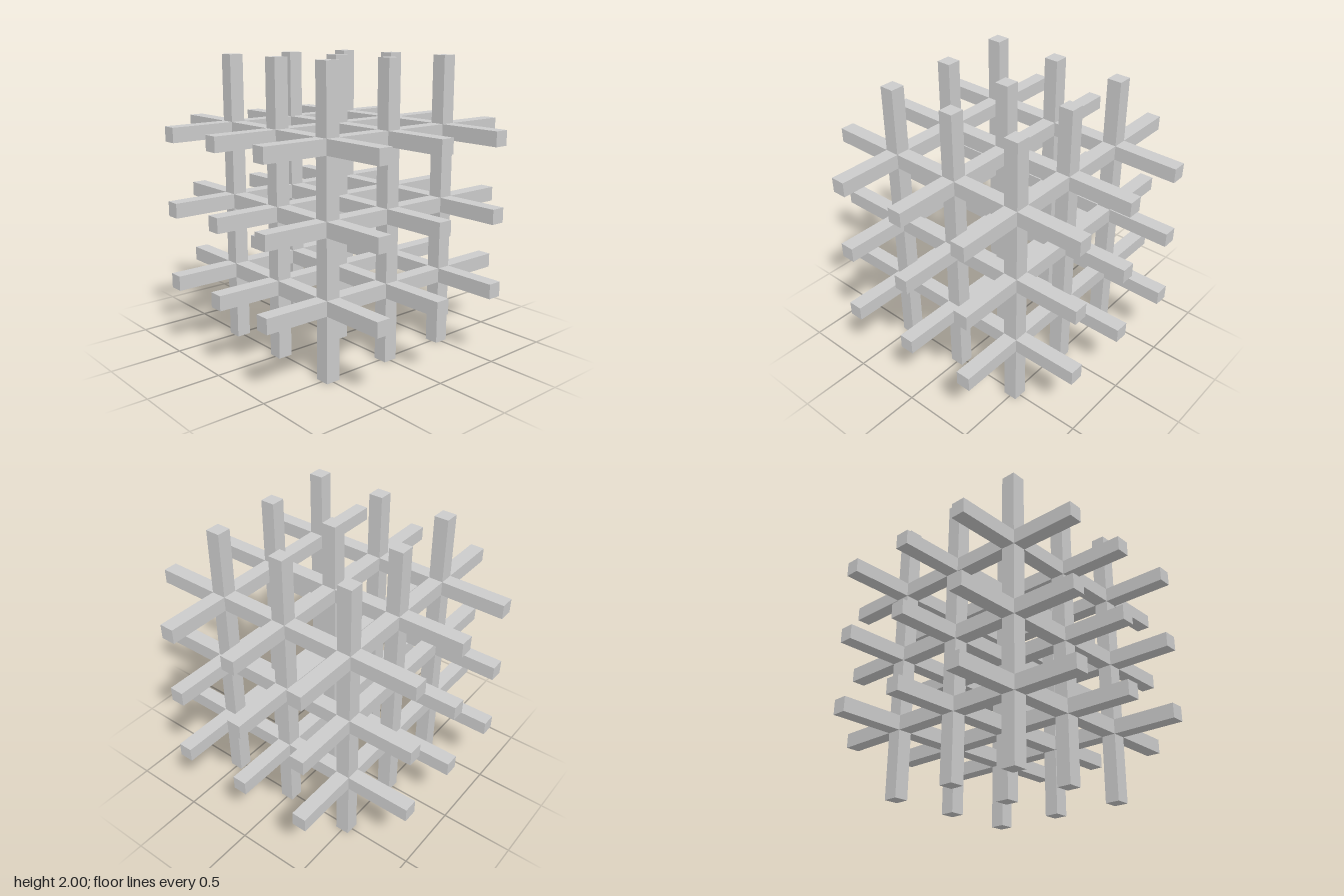
import * as THREE from 'three';

const LENGTH = 2;
const THICK = 0.1;
const OFFSETS = [-0.5, 0, 0.5];

export function createModel() {
  const model = new THREE.Group();
  model.name = 'lattice';
  const material = new THREE.MeshStandardMaterial({ color: 0xcccccc, flatShading: true });

  // a 3 x 3 set of square bars running along one axis
  function addBars(name, axis) {
    const group = new THREE.Group();
    group.name = name + 's';
    const size = [THICK, THICK, THICK];
    size[axis] = LENGTH;
    const geometry = new THREE.BoxGeometry(...size);
    for (const a of OFFSETS) {
      for (const b of OFFSETS) {
        const bar = new THREE.Mesh(geometry, material);
        bar.name = name;
        bar.position.setComponent((axis + 1) % 3, a);
        bar.position.setComponent((axis + 2) % 3, b);
        group.add(bar);
      }
    }
    group.position.y = LENGTH / 2;
    model.add(group);
  }

  addBars('crossBar', 0);
  addBars('uprightBar', 1);
  addBars('depthBar', 2);

  return model;
}
